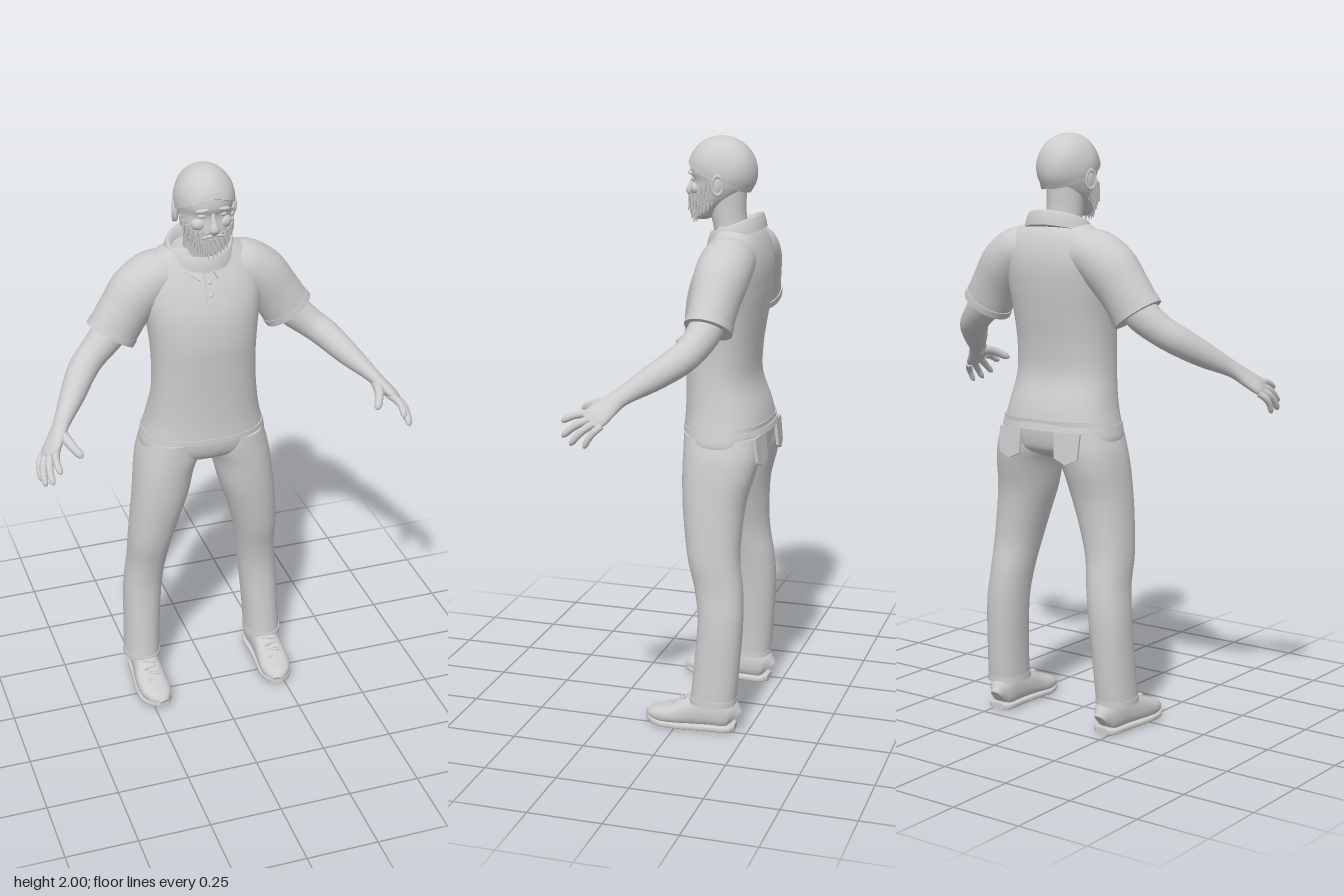
import * as THREE from 'three';

const V = (x, y, z) => new THREE.Vector3(x, y, z);
const N = 32;
const grey = new THREE.MeshStandardMaterial({ color: 0xcccccc });
grey.name = 'grey';

// Smooth skin through rings of N points, closed at both ends
function loft(rings, steps = 5) {
  const rows = (rings.length - 1) * steps;
  const curves = rings[0].map((_, j) => new THREE.CatmullRomCurve3(rings.map(r => r[j])));
  const pos = [], idx = [];
  for (let i = 0; i <= rows; i++) for (const c of curves) pos.push(...c.getPoint(i / rows).toArray());
  for (let i = 0; i < rows; i++) for (let j = 0; j < N; j++) {
    const a = i * N + j, b = i * N + (j + 1) % N;
    idx.push(a, b, b + N, a, b + N, a + N);
  }
  for (const end of [0, rows]) {
    const base = pos.length / 3, mid = V(0, 0, 0);
    for (let j = 0; j < N; j++) {
      const p = V(...pos.slice((end * N + j) * 3, (end * N + j) * 3 + 3));
      mid.addScaledVector(p, 1 / N);
      pos.push(p.x, p.y, p.z);
    }
    pos.push(mid.x, mid.y, mid.z);
    for (let j = 0; j < N; j++) {
      const a = base + j, b = base + (j + 1) % N;
      idx.push(base + N, ...(end ? [a, b] : [b, a]));
    }
  }
  const g = new THREE.BufferGeometry();
  g.setAttribute('position', new THREE.Float32BufferAttribute(pos, 3));
  g.setIndex(idx);
  g.computeVertexNormals();
  return g;
}

const pow = (v, p) => Math.sign(v) * Math.abs(v) ** (2 / p);
const ring = f => Array.from({ length: N }, (_, j) => f(j / N * Math.PI * 2));

// Level sections, bottom to top: [y, centreX, halfWidth, frontZ, backZ]
const stack = (secs, p = 2, steps = 5) => loft(secs.map(([y, cx, w, f, b]) => ring(t =>
  V(cx + w * pow(Math.cos(t), p), y, (f + b) / 2 - (f - b) / 2 * pow(Math.sin(t), p)))), steps);

// Sections square to a path: [x, y, z, radiusA, radiusB]
function limb(secs, ref = V(0, 0, 1), p = 2, steps = 4) {
  const c = secs.map(s => V(s[0], s[1], s[2]));
  return loft(secs.map((s, i) => {
    const t = c[Math.min(i + 1, c.length - 1)].clone().sub(c[Math.max(i - 1, 0)]).normalize();
    const u = ref.clone().cross(t).normalize(), v = t.clone().cross(u);
    return ring(a => c[i].clone().addScaledVector(u, s[3] * pow(Math.cos(a), p))
      .addScaledVector(v, s[4] * pow(Math.sin(a), p)));
  }), steps);
}

const plate = (pts, depth) => new THREE.ExtrudeGeometry(
  new THREE.Shape(pts.map(p => new THREE.Vector2(...p))), { depth, bevelEnabled: false });

export function createModel() {
  const model = new THREE.Group();
  const add = (name, geo, pos = [0, 0, 0], rot = [0, 0, 0], scale = [1, 1, 1]) => {
    const m = new THREE.Mesh(geo, grey);
    m.name = name;
    m.position.set(...pos);
    m.rotation.set(...rot);
    m.scale.set(...scale);
    model.add(m);
    return m;
  };
  const ball = new THREE.SphereGeometry(1, 20, 14);

  // Shirt body, hem and trouser seat
  add('shirt', stack([[1.03, 0, 0.215, 0.027, -0.268], [1.1, 0, 0.198, 0.023, -0.252],
    [1.2, 0, 0.183, 0.023, -0.218], [1.3, 0, 0.18, 0.026, -0.22], [1.4, 0, 0.186, 0.028, -0.235],
    [1.5, 0, 0.2, 0.013, -0.249], [1.58, 0, 0.208, -0.018, -0.252], [1.64, 0, 0.195, -0.05, -0.24],
    [1.68, 0, 0.16, -0.072, -0.222], [1.71, 0, 0.105, -0.085, -0.195]], 2.3));
  add('shirtHem', stack([[1.026, 0, 0.219, 0.03, -0.272], [1.044, 0, 0.215, 0.029, -0.268]], 2.3, 1));
  add('trouserSeat', stack([[0.925, 0, 0.09, -0.05, -0.19], [0.955, 0, 0.19, -0.005, -0.245],
    [0.99, 0, 0.222, 0.012, -0.258], [1.06, 0, 0.208, 0.018, -0.264]], 2.4));

  // Collar dipping at the front, placket and buttons
  add('collar', loft([[0.125, 0.098, 1.672], [0.118, 0.092, 1.7], [0.108, 0.082, 1.72], [0.09, 0.07, 1.705], [0.075, 0.055, 1.66]]
    .map(([rx, rz, y]) => ring(t => {
      const front = -Math.sin(t);
      return V(rx * Math.cos(t), y - 0.032 * front, -0.138 + rz * front);
    }))));
  add('placket', plate([[-0.016, 0], [0.016, 0], [0.016, 0.11], [-0.016, 0.11]], 0.006), [0, 1.55, -0.006], [-0.48, 0, 0]);
  for (const [y, z] of [[1.645, -0.045], [1.61, -0.026], [1.57, -0.008]])
    add('button', ball, [0, y, z], [-0.48, 0, 0], [0.008, 0.008, 0.004]);

  // Neck and skull
  add('neck', stack([[1.6, 0, 0.075, -0.06, -0.2], [1.68, 0, 0.064, -0.062, -0.18],
    [1.74, 0, 0.062, -0.05, -0.168], [1.84, 0, 0.065, -0.03, -0.168]]));
  add('head', stack([[1.725, 0, 0.022, 0.0, -0.04], [1.735, 0, 0.045, 0.008, -0.065], [1.77, 0, 0.067, 0.016, -0.1],
    [1.81, 0, 0.08, 0.016, -0.15], [1.855, 0, 0.087, 0.01, -0.18], [1.885, 0, 0.092, 0.02, -0.19],
    [1.93, 0, 0.09, 0.012, -0.185], [1.97, 0, 0.06, -0.025, -0.15]], 2.15));

  // Hair cap, lower at the back than over the forehead
  add('hair', loft([1, 0.85, 0.7, 0.55, 0.4, 0.25, 0.12, 0.01].map(k => ring(t => {
    const theta = k * THREE.MathUtils.lerp(1.25, 2.2, ((1 + Math.sin(t)) / 2) ** 0.8);
    const bump = 1 + 0.012 * Math.sin(5 * t + 6 * k);
    const r = Math.sin(theta) * bump;
    return V(0.1 * r * Math.cos(t), 1.885 + 0.115 * Math.cos(theta), -0.086 - 0.118 * r * Math.sin(t));
  }))));

  // Face
  add('nose', limb([[0, 1.872, 0.006, 0.006, 0.008], [0, 1.84, 0.017, 0.01, 0.011],
    [0, 1.815, 0.025, 0.017, 0.014], [0, 1.803, 0.02, 0.012, 0.01]], V(0, 0, 1)));
  add('lips', ball, [0, 1.782, 0.016], [0, 0, 0], [0.024, 0.007, 0.009]);

  // Beard tufts around the jaw, in staggered rows
  const tuft = new THREE.ConeGeometry(0.012, 0.05, 6).rotateX(Math.PI);
  for (let row = 0; row < 4; row++) for (let i = -8; i <= 8; i++) {
    const a = (i + (row % 2) / 2) * 0.205;
    const k = 1 - Math.abs(a) / 4.5, r = 0.82 + row * 0.065;
    add('beardTuft', tuft, [0.084 * r * Math.sin(a),
      1.733 + row * 0.014 + 0.055 * (1 - Math.cos(a)) + 0.004 * Math.sin(i * 7 + row * 3),
      -0.065 + 0.086 * r * Math.cos(a)], [-0.25 * Math.cos(a), 0, 0.25 * Math.sin(a)], [1, k * 1.1, 1]);
  }

  for (const s of [1, -1]) {
    // Eyes, brows, moustache and ears
    add('eye', ball, [s * 0.034, 1.86, 0.001], [0, s * 0.2, 0], [0.015, 0.008, 0.009]);
    add('brow', ball, [s * 0.036, 1.882, 0.01], [0, s * 0.25, -s * 0.15], [0.024, 0.007, 0.011]);
    add('cheek', ball, [s * 0.046, 1.83, -0.008], [0, s * 0.4, 0], [0.024, 0.02, 0.018]);
    add('moustache', ball, [s * 0.02, 1.794, 0.016], [0, s * 0.25, -s * 0.25], [0.024, 0.007, 0.011]);
    add('ear', ball, [s * 0.094, 1.845, -0.098], [-0.2, s * 0.35, 0], [0.01, 0.034, 0.02]);
    add('earRim', new THREE.TorusGeometry(0.02, 0.005, 8, 20), [s * 0.1, 1.848, -0.098], [0, s * 1.9, 0], [0.9, 1.5, 1]);

    // Collar flap
    add('collarFlap', plate([[s * 0.005, 0.035], [s * 0.03, -0.015], [s * 0.085, 0.03], [s * 0.1, 0.075], [s * 0.05, 0.06]], 0.007),
      [0, 1.63, -0.038], [-0.6, s * 0.18, 0]);

    // Sleeve and cuff band
    add('sleeve', limb([[s * 0.08, 1.615, -0.15, 0.075, 0.08], [s * 0.15, 1.605, -0.148, 0.088, 0.09],
      [s * 0.215, 1.56, -0.144, 0.093, 0.09], [s * 0.265, 1.495, -0.138, 0.088, 0.081],
      [s * 0.312, 1.422, -0.132, 0.088, 0.075]]));
    add('cuff', limb([[s * 0.302, 1.438, -0.134, 0.091, 0.079], [s * 0.315, 1.418, -0.132, 0.091, 0.079]], V(0, 0, 1), 2, 1));

    // Bare arm and palm
    add('arm', limb([[s * 0.28, 1.47, -0.135, 0.06, 0.058], [s * 0.33, 1.415, -0.125, 0.058, 0.056],
      [s * 0.39, 1.365, -0.1, 0.051, 0.05], [s * 0.43, 1.335, -0.068, 0.049, 0.05],
      [s * 0.485, 1.285, 0.005, 0.041, 0.043], [s * 0.545, 1.233, 0.088, 0.025, 0.032],
      [s * 0.572, 1.205, 0.122, 0.022, 0.039], [s * 0.598, 1.18, 0.15, 0.019, 0.045],
      [s * 0.612, 1.165, 0.165, 0.012, 0.038]]));

    // Thumb and fingers: base then tip
    for (const [name, b, t, r] of [
      ['thumb', [0.548, 1.215, 0.125], [0.51, 1.178, 0.225], 0.016],
      ['indexFinger', [0.585, 1.188, 0.175], [0.592, 1.155, 0.266], 0.0125],
      ['middleFinger', [0.603, 1.174, 0.168], [0.616, 1.112, 0.256], 0.0125],
      ['ringFinger', [0.617, 1.162, 0.153], [0.634, 1.092, 0.224], 0.012],
      ['littleFinger', [0.625, 1.152, 0.132], [0.638, 1.087, 0.176], 0.011]])
      add(name, limb([[-0.15, 1], [0.3, 1.05], [0.65, 0.9], [0.92, 0.75], [1, 0.25]].map(([k, w]) => {
        const bow = 0.03 * k * (1 - k);
        const q = b.map((v, i) => v + (t[i] - v) * k);
        return [s * (q[0] + bow), q[1] + bow, q[2], r * w, r * w];
      })));

    // Trouser leg and turned hem
    add('trouserLeg', stack([[0.1, s * 0.234, 0.064, -0.048, -0.206], [0.2, s * 0.23, 0.064, -0.058, -0.215],
      [0.4, s * 0.218, 0.068, -0.07, -0.226], [0.5, s * 0.206, 0.069, -0.056, -0.221],
      [0.6, s * 0.196, 0.077, -0.03, -0.207], [0.7, s * 0.178, 0.087, -0.013, -0.208],
      [0.8, s * 0.157, 0.098, 0, -0.218], [0.9, s * 0.139, 0.104, 0.006, -0.245],
      [0.96, s * 0.12, 0.112, 0.008, -0.257], [1.02, s * 0.112, 0.1, 0.008, -0.255]], 2.2));
    add('legHem', stack([[0.098, s * 0.234, 0.067, -0.045, -0.209], [0.118, s * 0.234, 0.066, -0.046, -0.209]], 2.2, 1));

    // Back pocket
    add('backPocket', plate([[-0.05, 0.05], [0.05, 0.05], [0.045, -0.035], [0, -0.055], [-0.045, -0.035]], 0.009),
      [s * 0.118, 0.975, -0.262], [0.1, -s * 0.1, 0]);

    // Shoe, sole and laces, heel to toe: [z, x, halfWidth, top]
    const foot = [[-0.203, 0.225, 0.022, 0.08], [-0.185, 0.226, 0.042, 0.115], [-0.11, 0.23, 0.047, 0.125],
      [-0.05, 0.233, 0.052, 0.112], [0.0, 0.234, 0.056, 0.085], [0.05, 0.23, 0.055, 0.066],
      [0.09, 0.222, 0.038, 0.052], [0.108, 0.217, 0.016, 0.036]];
    add('shoe', limb(foot.map(([z, x, w, top]) => [s * x, top / 2 + 0.004, z, w, top / 2 - 0.004]), V(0, 1, 0), 2.4));
    add('sole', limb(foot.map(([z, x, w]) => [s * x, 0.012 + Math.max(0, z - 0.05) * 0.15, z * 1.01, w + 0.003, 0.012]), V(0, 1, 0), 4));
    for (let i = 0; i < 4; i++)
      add('lace', new THREE.CapsuleGeometry(0.005, 0.04, 4, 8), [s * 0.233, 0.108 - i * 0.012, -0.035 + i * 0.02],
        [0, (i % 2 ? 1 : -1) * 0.3, Math.PI / 2]);
  }
  return model;
}
